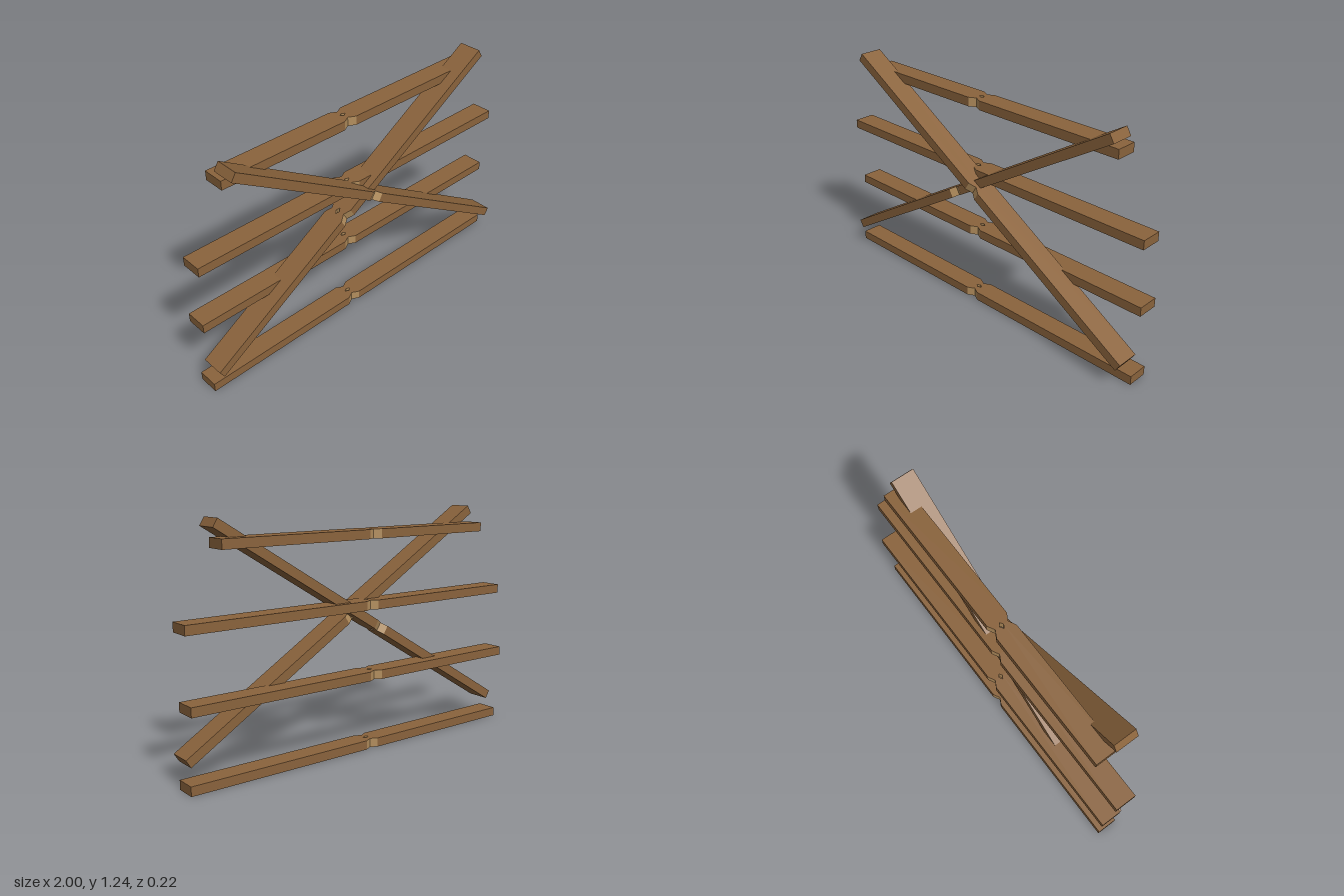
import * as THREE from 'three';

const wood = new THREE.MeshStandardMaterial({ color: 0x8a633c });
wood.name = 'brown wood';
const cutWood = new THREE.MeshStandardMaterial({ color: 0xb48f5e });
cutWood.name = 'pale cut wood';

const THICK = 0.048;

// Plank along x, with a V notch in both long edges and a small diamond hole
function plankGeometry(length, depth, notchX) {
  const l = length / 2, d = depth / 2, w = 0.037, cut = 0.02;
  const shape = new THREE.Shape([
    [-l, -d], [notchX - w, -d], [notchX, -d + cut], [notchX + w, -d], [l, -d],
    [l, d], [notchX + w, d], [notchX, d - cut], [notchX - w, d], [-l, d],
  ].map(([x, z]) => new THREE.Vector2(x, z)));
  shape.holes.push(new THREE.Path([
    [-0.018, 0], [0, 0.011], [0.018, 0], [0, -0.011],
  ].map(([x, z]) => new THREE.Vector2(notchX + x, z))));
  const geometry = new THREE.ExtrudeGeometry(shape, { depth: THICK, bevelEnabled: false });
  geometry.translate(0, 0, -THICK / 2).rotateX(Math.PI / 2);

  // Slanted cut faces take the pale material
  const n = geometry.attributes.normal;
  geometry.clearGroups();
  for (let i = 0; i < n.count; i += 3) {
    const slanted = Math.abs(n.getX(i)) > 0.1 && Math.abs(n.getZ(i)) > 0.1;
    geometry.addGroup(i, 3, slanted ? 1 : 0);
  }
  return geometry;
}

function plank(name, from, to, zBack, zFront, notchX) {
  const dx = to[0] - from[0], dy = to[1] - from[1];
  const mesh = new THREE.Mesh(
    plankGeometry(Math.hypot(dx, dy), zFront - zBack, notchX), [wood, cutWood]);
  mesh.name = name;
  mesh.position.set((from[0] + to[0]) / 2, (from[1] + to[1]) / 2, (zBack + zFront) / 2);
  mesh.rotation.z = Math.atan2(dy, dx);
  return mesh;
}

export function createModel() {
  const group = new THREE.Group();
  group.name = 'plankBarrier';

  // Horizontal rails: name, half length, height, back z, front z
  for (const [name, half, y, back, front] of [
    ['bottomRail', 1, 0.024, -0.08, 0.03],
    ['lowerRail', 1, 0.401, -0.11, 0.004],
    ['upperRail', 1, 0.764, -0.08, 0.033],
    ['topRail', 0.817, 1.129, -0.103, 0.01],
  ]) group.add(plank(name, [-half, y], [half, y], back, front, -0.06));

  // Crossed braces
  group.add(plank('fallingBrace', [-0.818, 1.221], [0.973, 0.128], -0.012, 0.11, -0.066));
  group.add(plank('risingBrace', [-0.973, 0.128], [0.818, 1.221], -0.052, 0.071, -0.073));
  return group;
}
